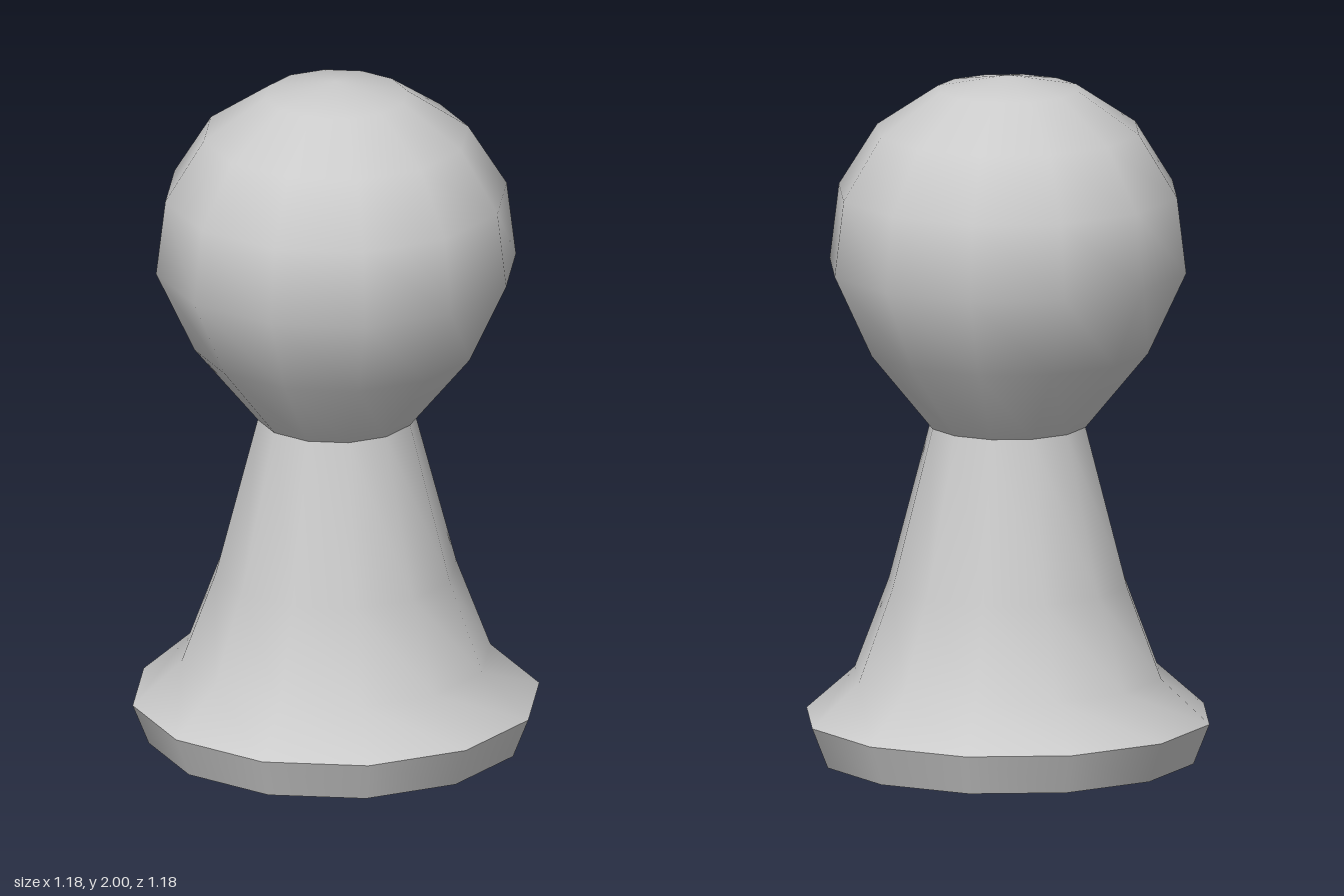
import * as THREE from 'three';

const SIDES = 12;
const material = new THREE.MeshStandardMaterial({ color: 0xcccccc });

// Smooth 12-sided turned section from [radius, height] pairs, bottom to top
function turned(name, profile) {
  const geometry = new THREE.LatheGeometry(profile.map(([r, y]) => new THREE.Vector2(r, y)), SIDES);
  const { position, normal } = geometry.attributes;
  // Straight-up normals at a closed tip
  for (let i = 0; i < position.count; i++) {
    if (Math.hypot(position.getX(i), position.getZ(i)) < 1e-6) normal.setXYZ(i, 0, 1, 0);
  }
  const mesh = new THREE.Mesh(geometry, material);
  mesh.name = name;
  return mesh;
}

export function createModel() {
  const pawn = new THREE.Group();
  pawn.name = 'pawn';

  // Flat underside
  const underside = new THREE.Mesh(new THREE.CircleGeometry(0.545, SIDES), material);
  underside.name = 'underside';
  underside.rotation.x = Math.PI / 2;
  pawn.add(underside);

  // Separate sections keep the edges between them sharp
  pawn.add(turned('baseRim', [[0.545, 0], [0.592, 0.118]]));
  pawn.add(turned('body', [[0.592, 0.118], [0.45, 0.245], [0.35, 0.51], [0.228, 0.975]]));
  pawn.add(turned('head', [
    [0.228, 0.975], [0.412, 1.2], [0.524, 1.44], [0.497, 1.66],
    [0.385, 1.84], [0.207, 1.96], [0, 2],
  ]));

  return pawn;
}
